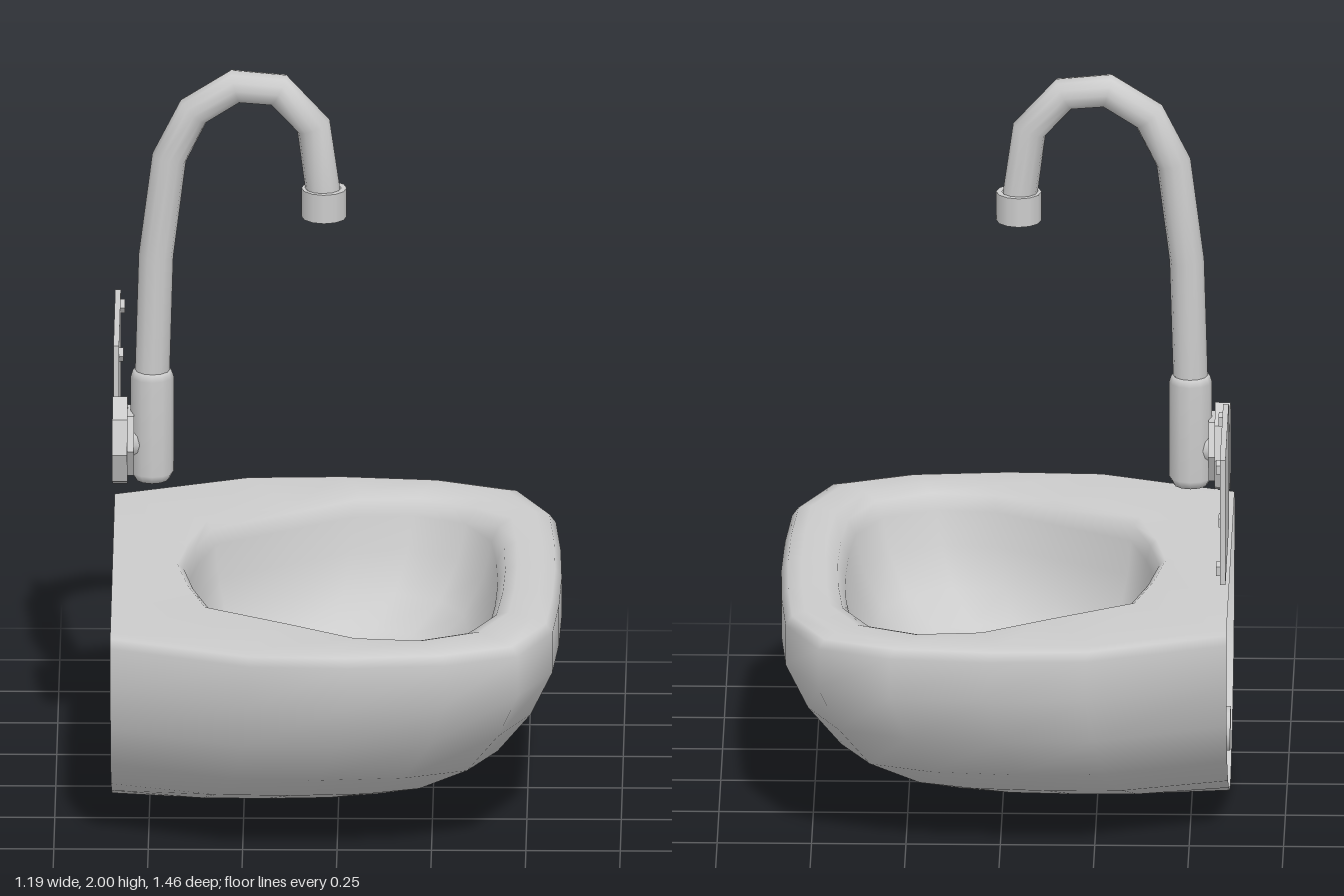
import * as THREE from 'three';

const grey = new THREE.MeshStandardMaterial({ color: 0xcccccc, side: THREE.DoubleSide });
const flatGrey = new THREE.MeshStandardMaterial({ color: 0xcccccc, side: THREE.DoubleSide, flatShading: true });

// Skin a list of closed rings (equal point counts); skip(k, i) leaves a face open
function loft(rings, skip = () => false) {
  const n = rings[0].length;
  const index = [];
  for (let k = 0; k < rings.length - 1; k++) {
    for (let i = 0; i < n; i++) {
      if (skip(k, i)) continue;
      const a = k * n + i, b = k * n + (i + 1) % n;
      index.push(a, a + n, b, b, a + n, b + n);
    }
  }
  const geo = new THREE.BufferGeometry();
  geo.setAttribute('position', new THREE.Float32BufferAttribute(rings.flat(2), 3));
  geo.setIndex(index);
  geo.computeVertexNormals();
  return geo;
}

// Round pipe along [x, y, radius] points in a plane of constant z
function sweep(path, z, sides = 12) {
  return loft(path.map(([x, y, r], k) => {
    const p = path[Math.max(k - 1, 0)], q = path[Math.min(k + 1, path.length - 1)];
    const len = Math.hypot(q[0] - p[0], q[1] - p[1]);
    const nx = (q[1] - p[1]) / len, ny = (p[0] - q[0]) / len;
    return Array.from({ length: sides }, (_, i) => {
      const a = i / sides * Math.PI * 2, c = r * Math.cos(a);
      return [x + nx * c, y + ny * c, z + r * Math.sin(a)];
    });
  }));
}

// Complete a half outline (front to back) by mirroring across z
const mirror = half => [...half, ...half.slice(1, -1).reverse().map(([x, z]) => [x, -z])];

export function createModel() {
  const group = new THREE.Group();
  const add = (name, geo, x = 0, y = 0, z = 0, mat = grey, parent = group) => {
    const mesh = new THREE.Mesh(geo, mat);
    mesh.name = name;
    mesh.position.set(x, y, z);
    parent.add(mesh);
    return mesh;
  };
  const wall = -0.6, drainX = -0.085;

  // Basin: outer hull (open at the wall), flat rim and bowl in one skin
  const outer = mirror([[0.59, 0], [0.585, 0.22], [0.57, 0.44], [0.48, 0.63], [0.29, 0.705],
    [0.03, 0.73], [-0.23, 0.72], [wall, 0.58], [wall, 0.3], [wall, 0]]);
  const opening = mirror([[0.42, 0], [0.415, 0.17], [0.4, 0.34], [0.33, 0.48], [0.19, 0.545],
    [0.03, 0.53], [-0.13, 0.43], [-0.33, 0.31], [-0.375, 0.15], [-0.4, 0]]);
  // Hull levels: height, length scale from the wall, width scale
  const hull = [[0, 0.34, 0], [0.02, 0.52, 0.19], [0.07, 0.65, 0.4], [0.13, 0.756, 0.6],
    [0.23, 0.875, 0.82], [0.35, 0.95, 0.93], [0.48, 1, 1], [0.59, 1, 1], [0.615, 0.985, 0.985], [0.625, 0.955, 0.955]];
  const rings = hull.map(([y, sx, sz]) =>
    outer.map(([x, z]) => [wall + (x - wall) * sx, y, z * sz]));
  // Rim and bowl levels: height, blend from the opening to the drain
  const bowl = [[0.625, -0.13], [0.61, -0.05], [0.57, 0], [0.48, 0.05], [0.38, 0.18],
    [0.31, 0.38], [0.265, 0.65], [0.24, 1]];
  for (const [y, t] of bowl) {
    rings.push(opening.map(([x, z], i) => {
      const a = i / opening.length * Math.PI * 2;
      return [x + (drainX + 0.1 * Math.cos(a) - x) * t, y, z + (0.1 * Math.sin(a) - z) * t];
    }));
  }
  const openBack = (k, i) => k < hull.length - 1 && i >= 7 && i <= 10;
  add('basin', loft(rings, openBack));

  // Drain collar and waste pipe running back to the wall
  add('drainCollar', new THREE.RingGeometry(0.08, 0.104, 18).rotateX(-Math.PI / 2), drainX, 0.242, 0);
  add('wastePipe', sweep([[drainX, 0.242, 0.08], [-0.09, 0.21, 0.078], [-0.16, 0.16, 0.065],
    [wall, 0.155, 0.06]], 0));

  // Tap: wall flange, body, curved spout and nozzle
  const tap = new THREE.Group();
  tap.name = 'tap';
  tap.position.z = -0.035;
  group.add(tap);
  const disc = (r, depth, sides) => new THREE.CylinderGeometry(r, r, depth, sides).rotateZ(Math.PI / 2);
  add('wallFlange', disc(0.122, 0.04, 8), -0.58, 0.96, 0, flatGrey, tap);
  add('flangeNut', disc(0.095, 0.02, 6), -0.553, 0.96, 0, flatGrey, tap);
  add('tapConnector', disc(0.045, 0.08, 12), -0.52, 0.96, 0, grey, tap);
  const lathe = pts => new THREE.LatheGeometry(pts.map(p => new THREE.Vector2(...p)), 12);
  add('tapBody', lathe([[0, 0.85], [0.045, 0.853], [0.057, 0.875], [0.057, 1.14], [0.051, 1.158],
    [0.04, 1.16]]), -0.495, 0, 0, grey, tap);
  add('spout', sweep([[-0.495, 1.14], [-0.485, 1.48], [-0.45, 1.755], [-0.385, 1.885], [-0.275, 1.955],
    [-0.16, 1.945], [-0.068, 1.845], [-0.04, 1.64]].map(([x, y]) => [x, y, 0.046]), 0), 0, 0, 0, grey, tap);
  add('nozzle', lathe([[0.045, 1.67], [0.06, 1.67], [0.06, 1.67], [0.06, 1.59], [0.06, 1.59],
    [0.047, 1.59], [0.047, 1.59], [0.047, 1.65], [0, 1.65]]), -0.04, 0, 0, grey, tap);

  // Wall plate with a bolt at each corner
  add('wallPlate', new THREE.BoxGeometry(0.015, 0.35, 0.45), -0.5925, 0.975, -0.468);
  for (const y of [0.833, 1.117]) {
    for (const z of [-0.275, -0.66]) add('plateBolt', disc(0.021, 0.012, 5), -0.58, y, z, flatGrey);
  }
  return group;
}
